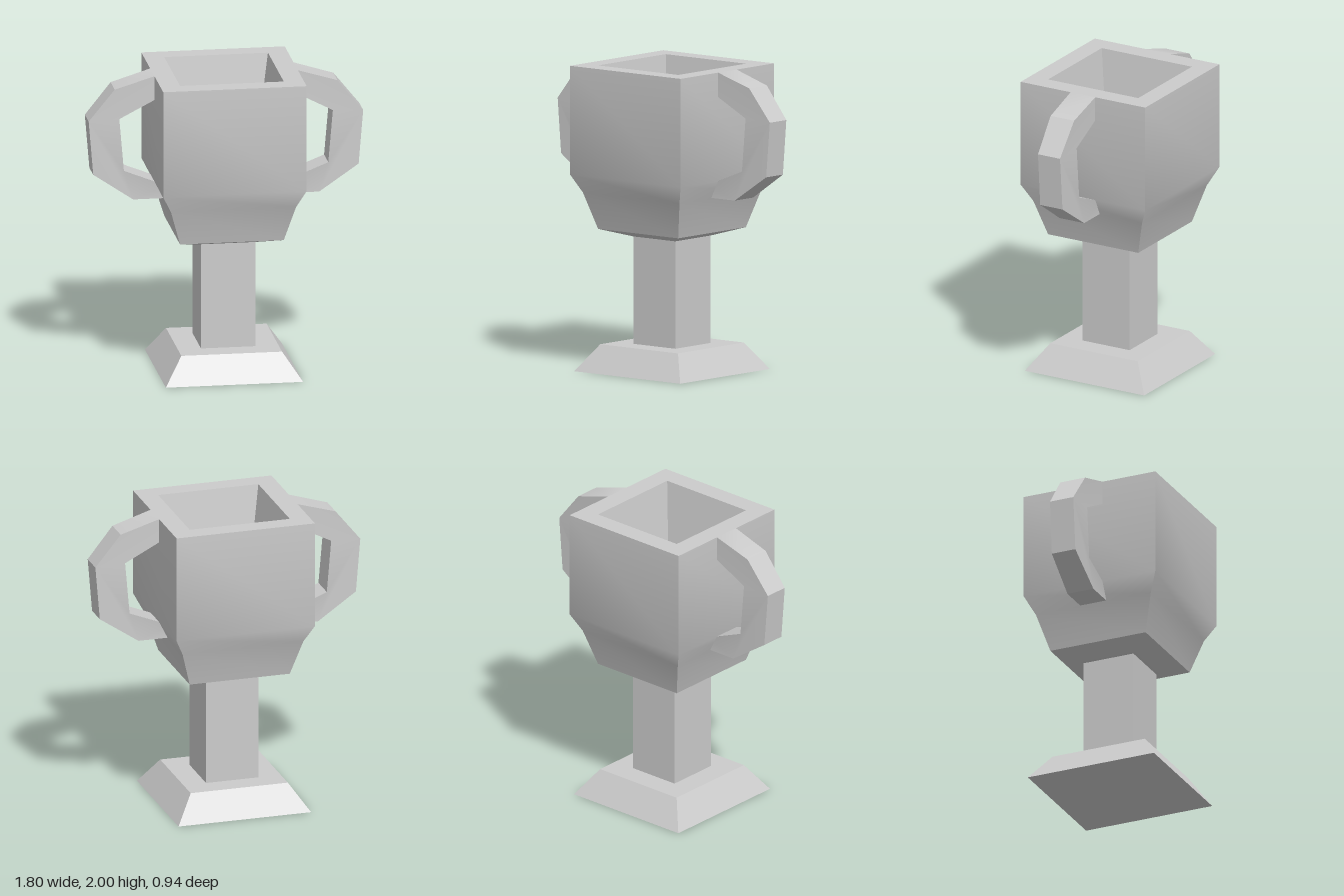
import * as THREE from 'three';
import { toCreasedNormals } from 'three/addons/utils/BufferGeometryUtils.js';

const material = new THREE.MeshStandardMaterial({ color: 0xcccccc });

function part(name, geometry) {
  const mesh = new THREE.Mesh(toCreasedNormals(geometry, 0.52), material);
  mesh.name = name;
  return mesh;
}

// Square-section solid from a profile of [half width, height] points
function squareTurned(name, profile) {
  const points = profile.map(([w, y]) => new THREE.Vector2(w * Math.SQRT2, y));
  return part(name, new THREE.LatheGeometry(points, 4, Math.PI / 4));
}

// Faceted handle, slightly thinner towards its outer end
function handle(name, side) {
  const outline = [
    [0.42, 2.0], [0.47, 2.0], [0.73, 1.92], [0.9, 1.71], [0.87, 1.35], [0.61, 1.175], [0.4, 1.175],
    [0.4, 1.26], [0.47, 1.29], [0.67, 1.37], [0.7, 1.72], [0.47, 1.84], [0.42, 1.82],
  ];
  const shape = new THREE.Shape(outline.map(([x, y]) => new THREE.Vector2(x, y - (x < 0.45 && y > 1.9 ? 0.01 : 0))));
  const geometry = new THREE.ExtrudeGeometry(shape, { depth: 2, bevelEnabled: false });
  geometry.translate(0, 0, -1);
  const pos = geometry.attributes.position;
  for (let i = 0; i < pos.count; i++) {
    const taper = THREE.MathUtils.clamp((pos.getX(i) - 0.6) / 0.3, 0, 1);
    pos.setZ(i, pos.getZ(i) * (0.093 - 0.01 * taper));
  }
  if (side < 0) geometry.rotateY(Math.PI);
  return part(name, geometry);
}

export function createModel() {
  const group = new THREE.Group();
  group.name = 'trophyCup';

  // Sloped foot and square stem
  group.add(squareTurned('base', [[0, 0], [0.45, 0], [0.33, 0.175], [0, 0.175]]));
  group.add(squareTurned('stem', [[0.178, 0.17], [0.178, 0.9]]));

  // Cup: underside, outer wall, rim, then down the inside to the floor
  group.add(squareTurned('cup', [
    [0, 0.878], [0.178, 0.878], [0.34, 0.93], [0.41, 1.17], [0.47, 1.29],
    [0.47, 2], [0.34, 2], [0.243, 1.36], [0, 1.36],
  ]));

  // Mirrored pair of handles
  group.add(handle('leftHandle', 1), handle('rightHandle', -1));
  return group;
}
